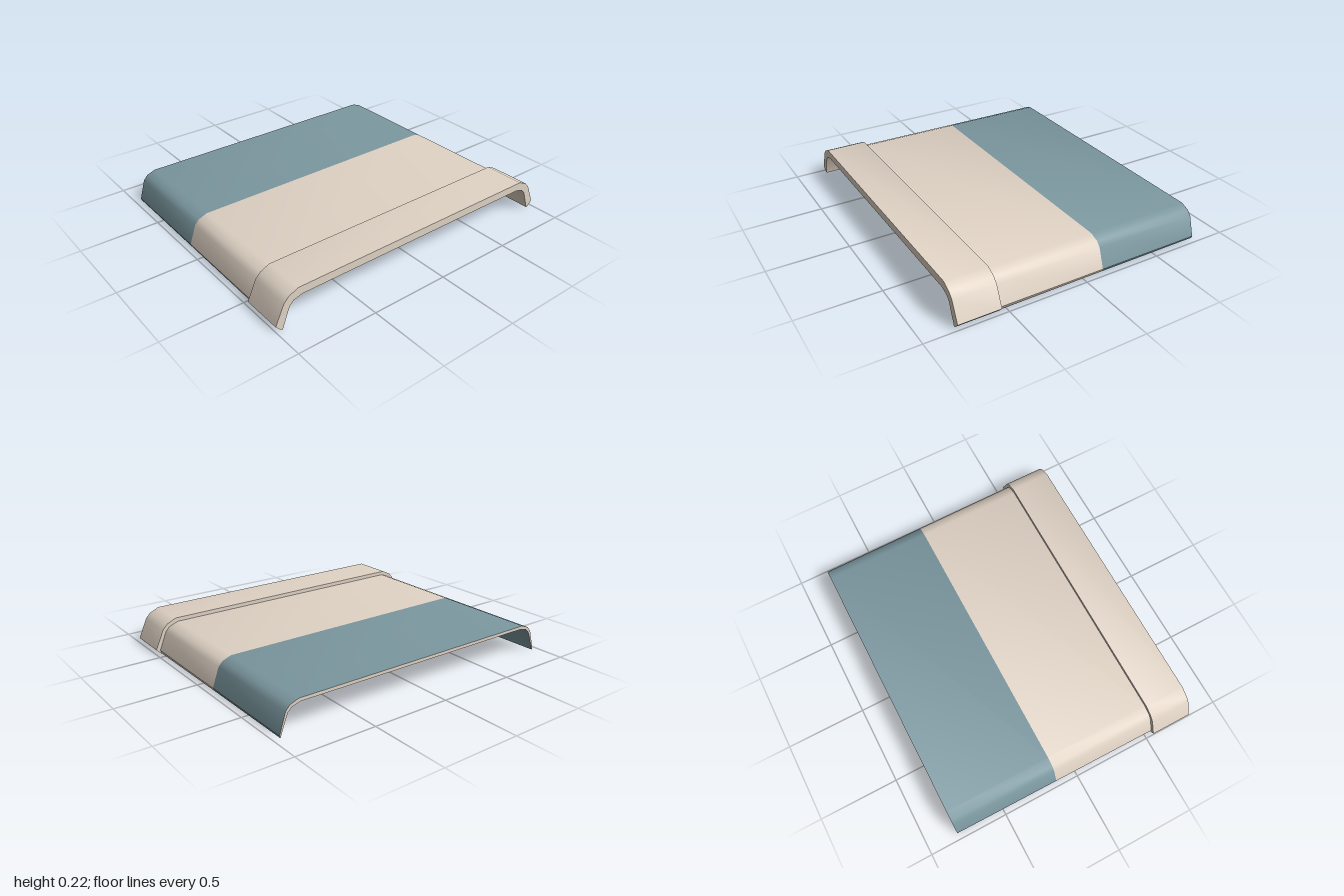
import * as THREE from 'three';
import { toCreasedNormals } from 'three/addons/utils/BufferGeometryUtils.js';

// Half profiles as [z, y], from the lower rim up to the flat top
const INNER = [[0.957, 0], [0.95, 0.02], [0.91, 0.127], [0.885, 0.152], [0.83, 0.168]];
const LIP_OUTER = [[0.975, 0.008], [1.0, 0.035], [0.945, 0.158], [0.915, 0.19], [0.855, 0.218]];
const THIN_OUTER = [[0.958, 0.003], [0.962, 0.014], [0.923, 0.138], [0.897, 0.167], [0.842, 0.188]];

const X_THIN = -0.81, X_BAND = -0.132, X_LIP = 0.545, X_END = 0.805;

const blend = (a, b, t) => a.map((p, i) => p.map((v, k) => v + (b[i][k] - v) * t));
const mirror = (half) => [...half, ...half.map(([z, y]) => [-z, y]).reverse()];

const SHEET_OUTER = blend(INNER, LIP_OUTER, 0.5);
// The sheet thickens gradually from the thin end to the lip
const sheetOuter = (x) => blend(THIN_OUTER, SHEET_OUTER, (x - X_THIN) / (X_LIP - X_THIN));

function toGeometry(positions) {
  const g = new THREE.BufferGeometry();
  g.setAttribute('position', new THREE.Float32BufferAttribute(positions, 3));
  return toCreasedNormals(g, 0.6);
}

function quad(out, a, b, c, d) {
  out.push(...a, ...b, ...c, ...a, ...c, ...d);
}

// Wall running along x between two closed profiles
function wall(out, x0, outer0, x1, outer1) {
  const ring = (x, outer) => [...mirror(INNER), ...mirror(outer).reverse()].map(([z, y]) => [x, y, z]);
  const a = ring(x0, outer0), b = ring(x1, outer1);
  a.forEach((p, i) => {
    const j = (i + 1) % a.length;
    quad(out, p, a[j], b[j], b[i]);
  });
}

// End face of a profile; dir is the sign of x it faces
function cap(out, x, outer, dir) {
  const n = mirror(INNER).map(([z, y]) => [x, y, z]);
  const o = mirror(outer).map(([z, y]) => [x, y, z]);
  for (let i = 0; i < n.length - 1; i++) {
    if (dir > 0) quad(out, n[i], n[i + 1], o[i + 1], o[i]);
    else quad(out, n[i], o[i], o[i + 1], n[i + 1]);
  }
}

export function createModel() {
  const group = new THREE.Group();
  const beige = new THREE.MeshStandardMaterial({ color: 0xe0d3c5 });
  const blue = new THREE.MeshStandardMaterial({ color: 0x7c98a0 });

  const add = (name, material, build) => {
    const positions = [];
    build(positions);
    const mesh = new THREE.Mesh(toGeometry(positions), material);
    mesh.name = name;
    group.add(mesh);
  };

  // Curved sheet in two colours
  add('blueSheet', blue, (p) => wall(p, X_THIN, sheetOuter(X_THIN), X_BAND, sheetOuter(X_BAND)));
  add('beigeSheet', beige, (p) => wall(p, X_BAND, sheetOuter(X_BAND), X_LIP, sheetOuter(X_LIP)));
  add('sheetEdge', beige, (p) => cap(p, X_THIN, sheetOuter(X_THIN), -1));

  // Thicker raised lip along one side
  add('raisedLip', beige, (p) => {
    wall(p, X_LIP, LIP_OUTER, X_END, LIP_OUTER);
    cap(p, X_LIP, LIP_OUTER, -1);
    cap(p, X_END, LIP_OUTER, 1);
  });

  return group;
}
